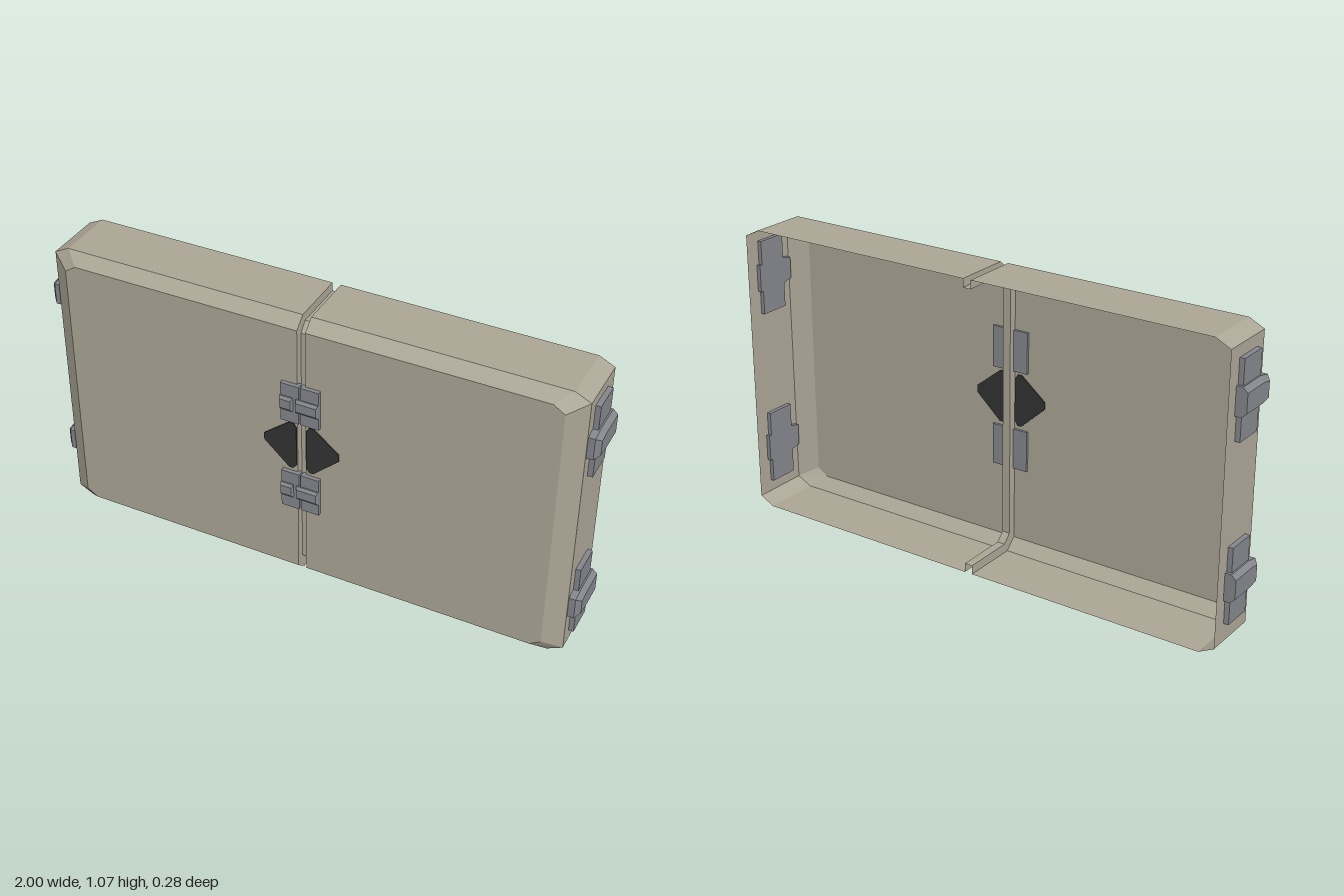
import * as THREE from 'three';

const mat = (name, color) => {
  const m = new THREE.MeshStandardMaterial({ color, flatShading: true, side: THREE.DoubleSide });
  m.name = name;
  return m;
};

// Skins a row of cross-sections (clockwise when seen from the last one)
function skin(rings, { closed = false, capStart = false, capEnd = false } = {}) {
  const pos = [], n = rings[0].length;
  const tri = (a, b, c) => pos.push(...a, ...b, ...c);
  for (let i = 0; i < rings.length - 1; i++) {
    for (let j = 0; j < (closed ? n : n - 1); j++) {
      const k = (j + 1) % n;
      const a = rings[i][j], b = rings[i][k], c = rings[i + 1][k], d = rings[i + 1][j];
      tri(a, c, b);
      tri(a, d, c);
    }
  }
  const last = rings[rings.length - 1], first = rings[0];
  for (let j = 1; j < n - 1; j++) {
    if (capEnd) tri(last[0], last[j + 1], last[j]);
    if (capStart) tri(first[0], first[j], first[j + 1]);
  }
  const g = new THREE.BufferGeometry();
  g.setAttribute('position', new THREE.Float32BufferAttribute(pos, 3));
  g.computeVertexNormals();
  return g;
}
const SOLID = { closed: true, capStart: true, capEnd: true };

export function createModel() {
  const root = new THREE.Group();
  root.name = 'doubleDoorPanel';
  const shellMat = mat('warm grey shell', 0xaba595);
  const metalMat = mat('grey metal', 0x84868c);
  const darkMat = mat('dark emblem', 0x333333);

  const add = (parent, name, geo, material, x = 0, y = 0, z = 0) => {
    const m = new THREE.Mesh(geo, material);
    m.name = name;
    m.position.set(x, y, z);
    parent.add(m);
    return m;
  };

  const GAP = 0.015, BACK = -0.139, RIM = 0.074, FRONT = 0.117;

  // One hollow half, open at the back and along the centre seam
  const outer = [[GAP, 1.073], [0.905, 1.073], [0.96, 1.046], [0.96, 0.028], [0.905, 0], [GAP, 0]];
  const inset = [[GAP, 1.036], [0.855, 1.036], [0.895, 1.01], [0.895, 0.064], [0.855, 0.038], [GAP, 0.038]];
  const at = (pts, z) => pts.map(([x, y]) => [x, y, z]);
  const shellGeo = skin([at(outer, BACK), at(outer, RIM), at(inset, FRONT)], { capEnd: true });

  // Half of the diamond on the front
  const diamond = new THREE.Shape([
    [0.018, 0.648], [0.03, 0.665], [0.045, 0.665], [0.14, 0.588],
    [0.14, 0.562], [0.045, 0.475], [0.03, 0.475], [0.018, 0.492],
  ].map(([x, y]) => new THREE.Vector2(x, y)));
  const diamondGeo = new THREE.ExtrudeGeometry(diamond, { depth: 0.009, bevelEnabled: false });

  // Side latch: plate through the wall and a chamfered bar across it
  const barAt = (x, zf, zm, hf, h) =>
    [[zf, hf], [zm, h], [-0.093, h], [-0.093, -h], [zm, -h], [zf, -hf]].map(([z, y]) => [x, y, z]);
  const latchBarGeo = skin([
    barAt(0.945, 0.068, 0.02, 0.04, 0.05),
    barAt(0.983, 0.068, 0.02, 0.04, 0.05),
    barAt(1.0, 0.05, 0.015, 0.028, 0.034),
  ], SOLID);
  const latchPlateGeo = new THREE.BoxGeometry(0.033, 0.274, 0.112);

  for (const s of [1, -1]) {
    const half = new THREE.Group();
    half.name = s > 0 ? 'leftHalf' : 'rightHalf';
    half.scale.x = s;
    root.add(half);
    add(half, 'shell', shellGeo, shellMat);
    add(half, 'diamondHalf', diamondGeo, darkMat, 0, 0, 0.1125);
    for (const y of s > 0 ? [0.874, 0.209] : [0.866, 0.232]) {
      const latch = new THREE.Group();
      latch.name = 'sideLatch';
      latch.position.y = y;
      half.add(latch);
      add(latch, 'latchPlate', latchPlateGeo, metalMat, 0.9615, 0, -0.026);
      add(latch, 'latchBar', latchBarGeo, metalMat);
    }
  }

  // Recessed channel that joins the halves along the seam
  const rimLine = [[1.073, BACK], [1.073, RIM], [1.036, FRONT], [0.038, FRONT], [0, RIM], [0, BACK]];
  const floorLine = [[1.042, BACK], [1.042, 0.058], [1.01, 0.088], [0.064, 0.088], [0.033, 0.058], [0.033, BACK]];
  const across = (pts, x) => pts.map(([y, z]) => [x, y, z]);
  add(root, 'seamChannel', skin([
    across(rimLine, GAP), across(floorLine, GAP), across(floorLine, -GAP), across(rimLine, -GAP),
  ]), shellMat);

  // Front clasps across the seam
  const rect = (x0, x1, h, z) => [[x0, h, z], [x1, h, z], [x1, -h, z], [x0, -h, z]];
  const claspBar = (x0, x1) => skin([
    rect(x0, x1, 0.027, 0.128), rect(x0, x1, 0.027, 0.136), rect(x0 + 0.004, x1 - 0.004, 0.017, 0.144),
  ], SOLID);
  const claspPlateGeo = new THREE.BoxGeometry(0.068, 0.15, 0.024);
  const barGeos = [claspBar(-0.072, -0.024), claspBar(-0.012, 0.07)];
  for (const y of [0.751, 0.386]) {
    const clasp = new THREE.Group();
    clasp.name = 'frontClasp';
    clasp.position.y = y;
    root.add(clasp);
    for (const s of [1, -1]) add(clasp, 'claspPlate', claspPlateGeo, metalMat, s * 0.037, 0, 0.12);
    for (const g of barGeos) add(clasp, 'claspBar', g, metalMat);
  }
  return root;
}
